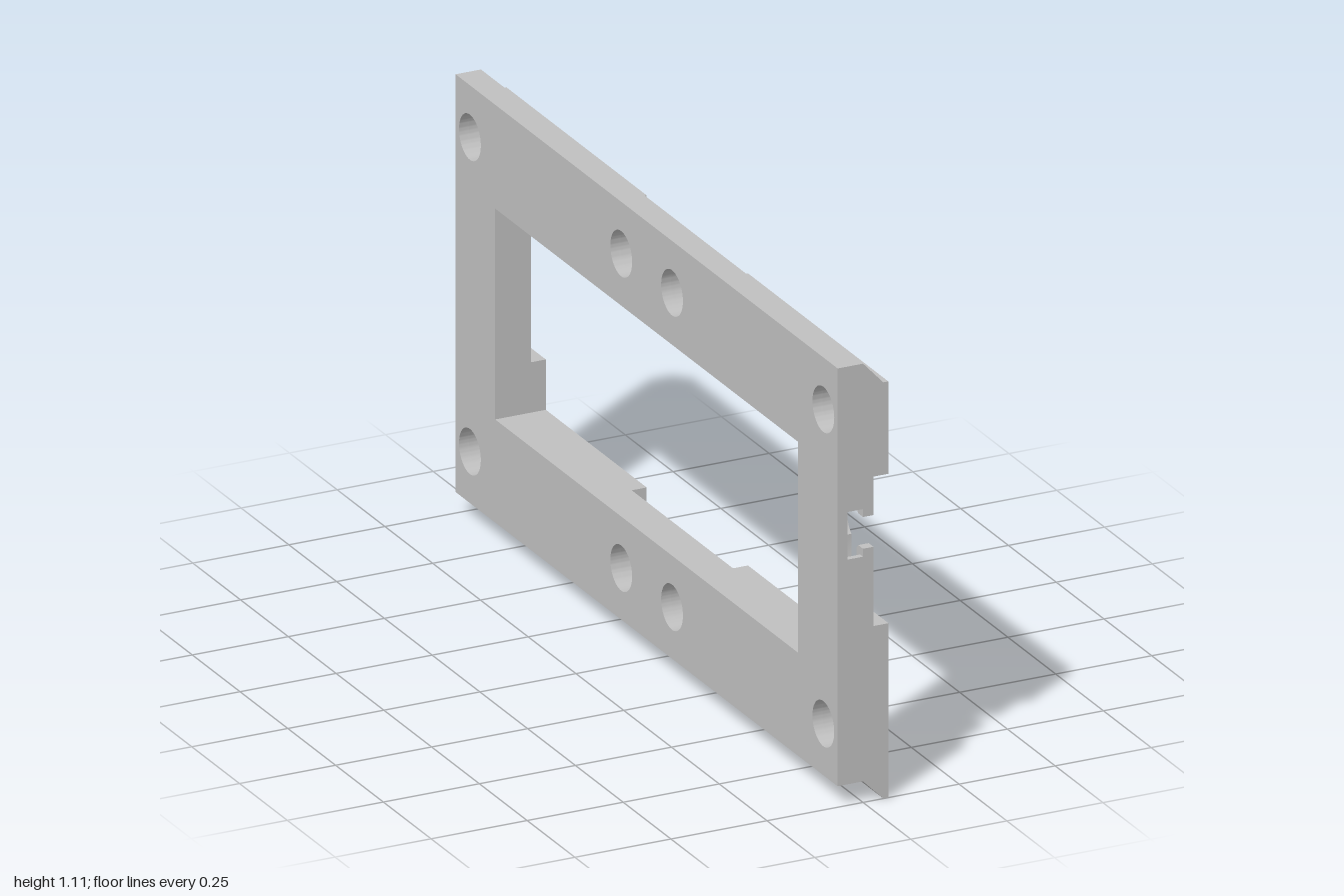
import * as THREE from 'three';
import { toCreasedNormals } from 'three/addons/utils/BufferGeometryUtils.js';

const TOP = 1.107, BOTTOM = 0.053;      // back-face edges of the plate
const WIN = { z: 0.793, low: 0.313, high: 0.845 };
const HOLE_R = 0.057, HOLE_LOW = 0.183, HOLE_HIGH = 0.976;
const CORNER_Z = 0.925, KEY_Y = 0.68, SLOT_Y = 0.58;

// Sloped long edges: how far each edge sits at depth x
const topEdge = x => Math.max(1.05, TOP - 1.08 * Math.max(0, x));
const bottomEdge = x => Math.max(0, BOTTOM - Math.max(0, x));

function arc(cx, cy, r, from, to, n = 16) {
  return Array.from({ length: n + 1 }, (_, i) => {
    const a = THREE.MathUtils.degToRad(from + (to - from) * i / n);
    return [cx + r * Math.cos(a), cy + r * Math.sin(a)];
  });
}

function circle(u, y) {
  return new THREE.Path().absarc(u, y, HOLE_R, 0, Math.PI * 2, true);
}

const toShape = pts => new THREE.Shape(pts.map(p => new THREE.Vector2(p[0], p[1])));

// Full frame outline with the same notch in both ends, window and eight holes
function frameShape(notch) {
  const right = [[1, BOTTOM], ...notch, [1, TOP]];
  const left = right.map(([u, y]) => [-u, y]).reverse();
  const shape = toShape([...right, ...left]);
  shape.holes.push(toShape([[-WIN.z, WIN.low], [-WIN.z, WIN.high], [WIN.z, WIN.high], [WIN.z, WIN.low]]));
  for (const u of [-CORNER_Z, -0.133, 0.133, CORNER_Z])
    for (const y of [HOLE_LOW, HOLE_HIGH]) shape.holes.push(circle(u, y));
  return shape;
}

// Raised L-shaped pad on one corner
function padShape(side, upper) {
  const pts = upper
    ? [[0.265, WIN.high], [WIN.z, WIN.high], [WIN.z, 0.817], [1, 0.817], [1, TOP], [0.265, TOP]]
    : [[0.265, BOTTOM], [1, BOTTOM], [1, 0.44], [WIN.z, 0.44], [WIN.z, WIN.low], [0.265, WIN.low]];
  const shape = toShape(pts.map(([u, y]) => [u * side, y]));
  shape.holes.push(circle(CORNER_Z * side, upper ? HOLE_HIGH : HOLE_LOW));
  return shape;
}

export function createModel() {
  const model = new THREE.Group();
  model.name = 'mountingFrame';
  const grey = new THREE.MeshStandardMaterial({ color: 0xc0c0c0 });
  grey.name = 'plain grey';

  // Extrude a shape between two depths, then slope its long edges
  function slab(name, shape, x0, x1) {
    let geo = new THREE.ExtrudeGeometry(shape, { depth: x1 - x0, bevelEnabled: false, curveSegments: 40 });
    geo.rotateY(Math.PI / 2).translate(x0, 0, 0);
    const pos = geo.attributes.position;
    for (let i = 0; i < pos.count; i++) {
      const x = pos.getX(i), y = pos.getY(i);
      if (y > 1.1) pos.setY(i, topEdge(x));
      else if (y < 0.06) pos.setY(i, bottomEdge(x));
    }
    geo.computeVertexNormals();
    geo = toCreasedNormals(geo, 0.45);
    const mesh = new THREE.Mesh(geo, grey);
    mesh.name = name;
    model.add(mesh);
  }

  // Wide cavity behind each keyhole, open to the end of the plate
  const R = 0.06;
  const cavity = [
    [1, KEY_Y - R], [CORNER_Z + R, KEY_Y - R],
    ...arc(CORNER_Z, SLOT_Y, R, 0, -180),
    ...arc(CORNER_Z, KEY_Y, R, 180, 90),
    [1, KEY_Y + R],
  ];
  // Narrow keyhole with its side channel
  const keyhole = [
    [1, KEY_Y - 0.04],
    ...arc(CORNER_Z, KEY_Y, 0.064, -38.7, -51.3, 2),
    ...arc(CORNER_Z, SLOT_Y, 0.04, 0, -180),
    ...arc(CORNER_Z, KEY_Y, 0.064, 231.3, 38.7, 28),
    [1, KEY_Y + 0.04],
  ];

  slab('backPlate', frameShape([]), -0.066, -0.04);
  slab('cavityLayer', frameShape(cavity), -0.04, 0);
  slab('keyholeLayer', frameShape(keyhole), 0, 0.027);

  // Corner pads: sloped part and square-edged face
  for (const side of [-1, 1]) {
    for (const upper of [true, false]) {
      const name = (upper ? 'upper' : 'lower') + (side > 0 ? 'Rear' : 'Front') + 'Pad';
      slab(name + 'Base', padShape(side, upper), 0.027, 0.053);
      slab(name + 'Face', padShape(side, upper), 0.053, 0.066);
    }
  }
  return model;
}
